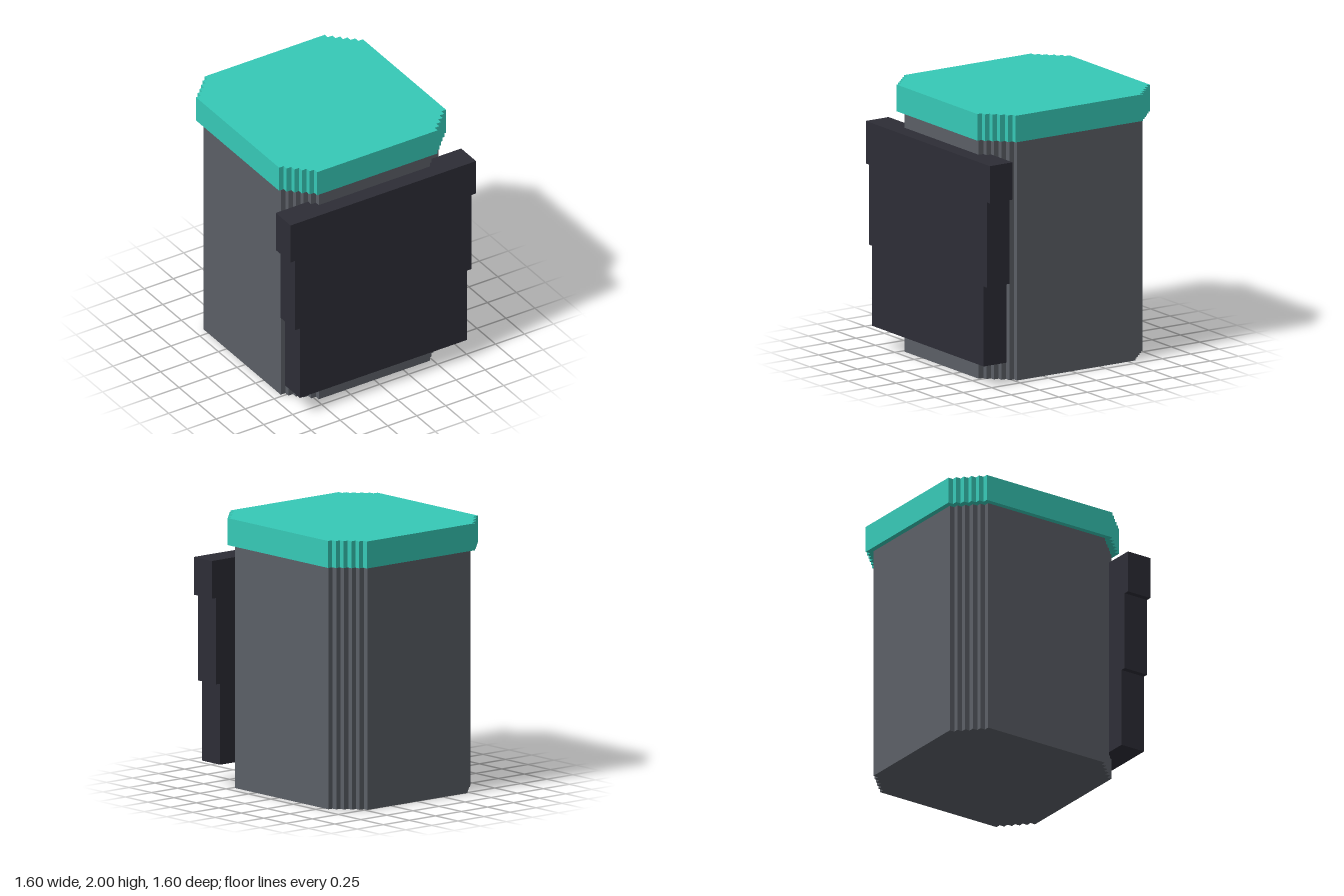
import * as THREE from 'three';

const STEP = 0.04;
const STEPS = 5;

// Rectangle outline in (x, -z) whose four corners are cut by small stairs
function steppedOutline(halfWidth, zBack, zFront) {
  const mid = -(zBack + zFront) / 2;
  const halfDepth = (zFront - zBack) / 2;
  const corner = [];
  for (let i = 0; i <= STEPS; i++) {
    const x = halfWidth - i * STEP;
    const y = halfDepth - (STEPS - i) * STEP;
    corner.push([x, y]);
    if (i < STEPS) corner.push([x - STEP, y]);
  }
  const points = [];
  for (const [sx, sy] of [[1, 1], [-1, 1], [-1, -1], [1, -1]]) {
    const quarter = sx * sy > 0 ? corner : [...corner].reverse();
    for (const [x, y] of quarter) points.push(new THREE.Vector2(sx * x, mid + sy * y));
  }
  return new THREE.Shape(points);
}

function steppedBlock(name, material, halfWidth, zBack, zFront, y0, y1) {
  const geometry = new THREE.ExtrudeGeometry(steppedOutline(halfWidth, zBack, zFront), {
    depth: y1 - y0,
    bevelEnabled: false,
  });
  geometry.rotateX(-Math.PI / 2);
  geometry.translate(0, y0, 0);
  const mesh = new THREE.Mesh(geometry, material);
  mesh.name = name;
  return mesh;
}

export function createModel() {
  const bodyGrey = new THREE.MeshStandardMaterial({ name: 'slate grey', color: 0x5b5f66 });
  const lidTeal = new THREE.MeshStandardMaterial({ name: 'teal', color: 0x36c9b7 });
  const panelDark = new THREE.MeshStandardMaterial({ name: 'dark charcoal', color: 0x2d2d36 });

  const group = new THREE.Group();
  group.name = 'container';

  // Body and overhanging lid
  group.add(steppedBlock('body', bodyGrey, 0.68, -0.76, 0.68, 0, 1.8));
  group.add(steppedBlock('lid', lidTeal, 0.72, -0.8, 0.72, 1.8, 2));

  // Front panel, widening upwards in two steps; the upper step is lower on its right side
  const outline = [
    [-0.72, 0.16], [0.72, 0.16], [0.72, 0.76], [0.76, 0.76], [0.76, 1.4], [0.8, 1.4],
    [0.8, 1.68], [-0.8, 1.68], [-0.8, 1.36], [-0.76, 1.36], [-0.76, 0.76], [-0.72, 0.76],
  ].map(([x, y]) => new THREE.Vector2(x, y));
  const panelGeometry = new THREE.ExtrudeGeometry(new THREE.Shape(outline), {
    depth: 0.2,
    bevelEnabled: false,
  });
  panelGeometry.translate(0, 0, 0.6);
  const panel = new THREE.Mesh(panelGeometry, panelDark);
  panel.name = 'frontPanel';
  group.add(panel);

  return group;
}
